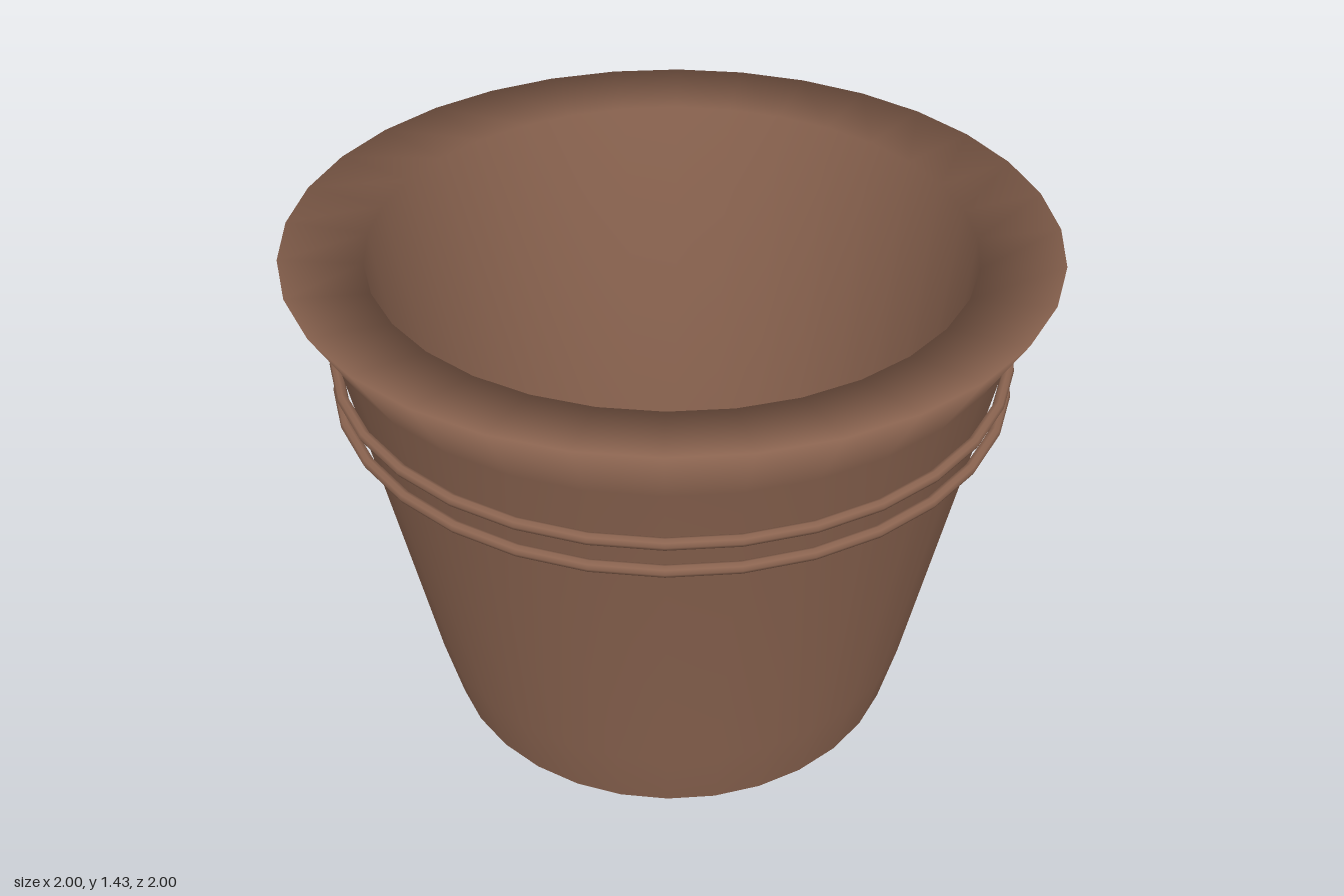
import * as THREE from 'three';

const SIDES = 32;

export function createModel() {
  const pot = new THREE.Group();
  pot.name = 'flowerPot';
  const clay = new THREE.MeshStandardMaterial({ color: 0x8b6450 });
  clay.name = 'brown clay';

  const add = (name, geometry, y = 0, rotX = 0) => {
    const mesh = new THREE.Mesh(geometry, clay);
    mesh.name = name;
    mesh.position.y = y;
    mesh.rotation.x = rotX;
    pot.add(mesh);
  };

  // Wall: up the outside, over the flared lip and down the inside
  const profile = [
    [0.665, 0], [0.71, 0.2], [0.9, 1.25], [1, 1.43],
    [0.79, 1.4], [0.675, 0.2],
  ].map(([r, y]) => new THREE.Vector2(r, y));
  add('wall', new THREE.LatheGeometry(profile, SIDES));

  // Flat discs closing the inside and the underside
  add('innerFloor', new THREE.CircleGeometry(0.675, SIDES), 0.2, -Math.PI / 2);
  add('base', new THREE.CircleGeometry(0.665, SIDES), 0, Math.PI / 2);

  // Two thin hoops standing slightly clear of the wall
  [['lowerHoop', 1.03], ['upperHoop', 1.11]].forEach(([name, y]) =>
    add(name, new THREE.TorusGeometry(0.895, 0.015, 8, SIDES), y, Math.PI / 2));

  return pot;
}
